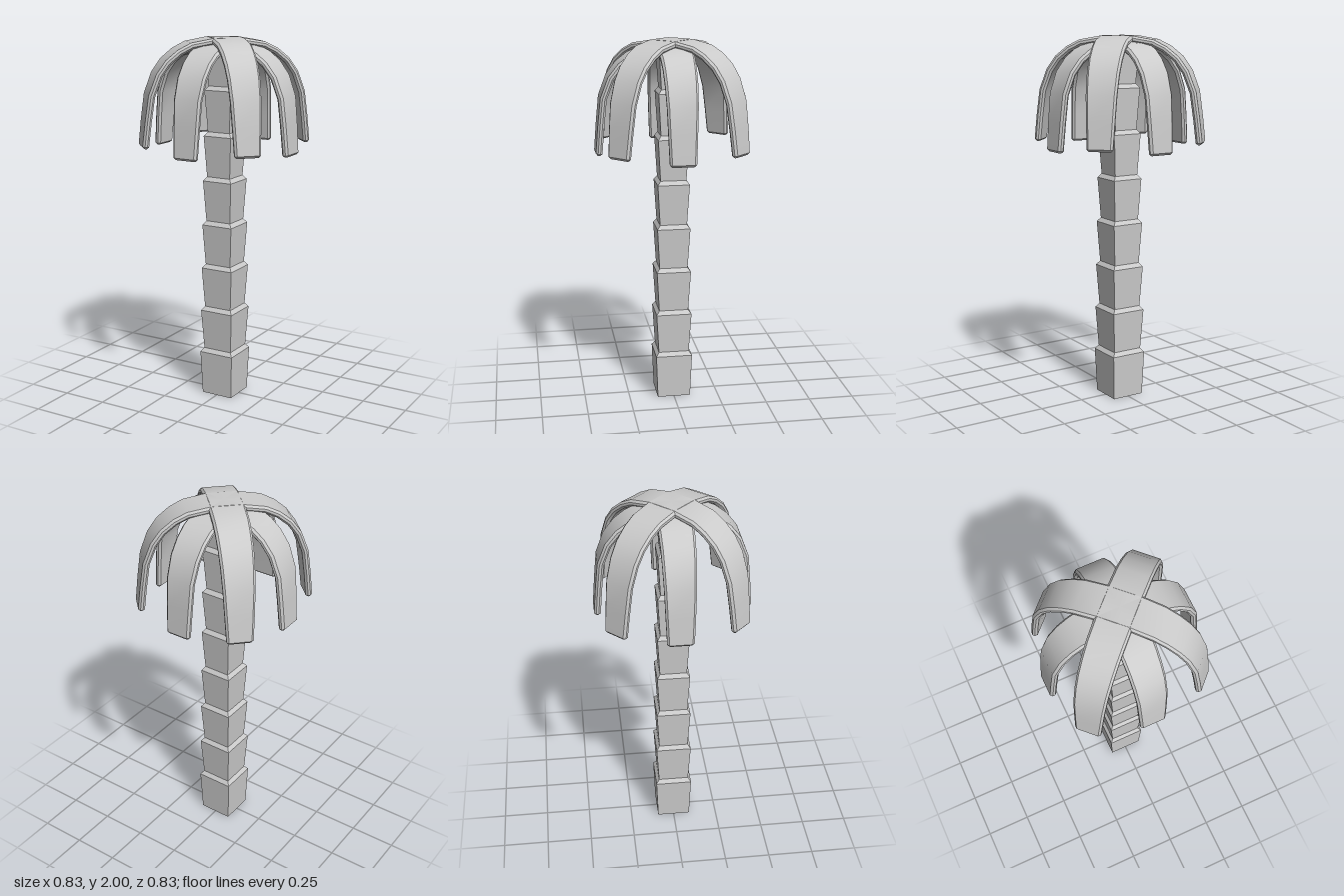
import * as THREE from 'three';
import { toCreasedNormals } from 'three/addons/utils/BufferGeometryUtils.js';

const material = new THREE.MeshStandardMaterial({ color: 0xcccccc });
const flatMaterial = new THREE.MeshStandardMaterial({ color: 0xcccccc, flatShading: true });

// Square trunk of flared segments, each stepping in above its rim
function makeTrunk() {
  const count = 8, pitch = 0.246, top = 1.95;
  const profile = [[0, 0]];
  for (let i = 0; i < count; i++) {
    const y = i * pitch, rim = 0.101 - i * 0.0035;
    profile.push([i ? rim - 0.013 : 0.092, i ? y + 0.022 : 0]);
    profile.push([rim, Math.min(y + pitch, top)]);
  }
  profile.push([0, top]);
  const points = profile.map(([h, y]) => new THREE.Vector2(h * Math.SQRT2, y));
  const trunk = new THREE.Mesh(new THREE.LatheGeometry(points, 4).rotateY(Math.PI / 4), flatMaterial);
  trunk.name = 'trunk';
  return trunk;
}

// Drooping frond: a bevelled strip swept along its top line of [reach, height, half width]
function frondGeometry(line) {
  const t = 0.035, b = 0.011;
  const rings = line.map(([r, y, w], i) => {
    const p = line[Math.max(i - 1, 0)], q = line[Math.min(i + 1, line.length - 1)];
    const tan = i ? new THREE.Vector2(q[0] - p[0], q[1] - p[1]).normalize() : new THREE.Vector2(1, 0);
    return { r, y, w, tan, inset: 0 };
  });
  // bevelled tip
  const end = rings[rings.length - 1];
  rings.push({ ...end, inset: b });
  end.r -= end.tan.x * b;
  end.y -= end.tan.y * b;

  const pos = [], index = [], n = 8;
  for (const { r, y, w, tan, inset } of rings) {
    const h = w - inset, hi = -inset, lo = -t + inset, c = inset ? 0.004 : b;
    const section = [
      [-h + c, hi], [h - c, hi], [h, hi - c], [h, lo + c],
      [h - c, lo], [-h + c, lo], [-h, lo + c], [-h, hi - c],
    ];
    for (const [z, d] of section) pos.push(r - tan.y * d, y + tan.x * d, z);
  }
  for (let i = 0; i < rings.length - 1; i++) {
    for (let j = 0; j < n; j++) {
      const a = i * n + j, e = i * n + (j + 1) % n;
      index.push(a, e, e + n, a, e + n, a + n);
    }
  }
  const last = (rings.length - 1) * n;
  for (let k = 1; k < n - 1; k++) index.push(last, last + k, last + k + 1);

  const geometry = new THREE.BufferGeometry();
  geometry.setAttribute('position', new THREE.Float32BufferAttribute(pos, 3));
  geometry.setIndex(index);
  return toCreasedNormals(geometry, 0.65);
}

export function createModel() {
  const model = new THREE.Group();
  model.name = 'palmTree';
  model.add(makeTrunk());

  const lower = frondGeometry([
    [0, 1.98, 0.09], [0.06, 1.978, 0.09], [0.16, 1.96, 0.09], [0.23, 1.93, 0.088],
    [0.29, 1.885, 0.086], [0.345, 1.815, 0.084], [0.387, 1.705, 0.08], [0.402, 1.56, 0.075], [0.415, 1.4, 0.069],
  ]);
  const upper = frondGeometry([
    [0, 2, 0.092], [0.08, 1.999, 0.092], [0.2, 1.978, 0.091], [0.27, 1.943, 0.089],
    [0.335, 1.89, 0.087], [0.385, 1.82, 0.084], [0.427, 1.71, 0.08], [0.447, 1.57, 0.074], [0.463, 1.43, 0.068],
  ]);

  // Eight fronds: straight ones below, diagonal ones on top
  const crown = new THREE.Group();
  crown.name = 'crown';
  for (let i = 0; i < 8; i++) {
    const frond = new THREE.Mesh(i % 2 ? upper : lower, material);
    frond.name = i % 2 ? 'upperFrond' : 'lowerFrond';
    frond.rotation.y = i * Math.PI / 4;
    crown.add(frond);
  }
  model.add(crown);
  return model;
}
